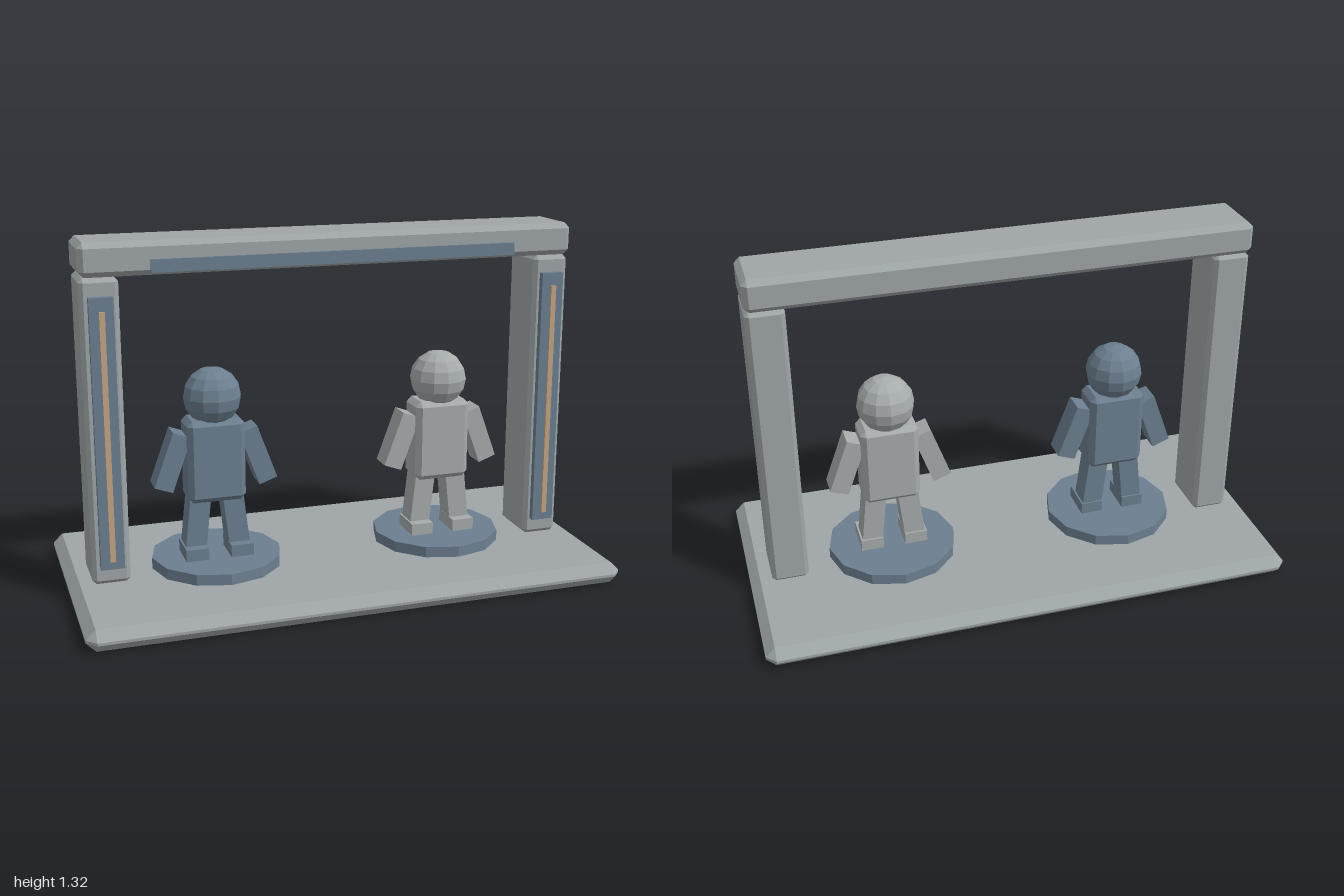
import * as THREE from 'three';
import { ConvexGeometry } from 'three/addons/geometries/ConvexGeometry.js';

const material = (name, color) => {
  const m = new THREE.MeshStandardMaterial({ color, flatShading: true });
  m.name = name;
  return m;
};

// Box with flat 45 degree chamfers on every edge
function chamferBox(w, h, d, c) {
  const points = [];
  for (const sx of [-1, 1]) for (const sy of [-1, 1]) for (const sz of [-1, 1]) {
    const x = w / 2, y = h / 2, z = d / 2;
    points.push(
      new THREE.Vector3(sx * x, sy * (y - c), sz * (z - c)),
      new THREE.Vector3(sx * (x - c), sy * y, sz * (z - c)),
      new THREE.Vector3(sx * (x - c), sy * (y - c), sz * z));
  }
  return new ConvexGeometry(points);
}

function add(parent, name, geometry, mat, x, y, z, tilt = 0) {
  const mesh = new THREE.Mesh(geometry, mat);
  mesh.name = name;
  mesh.position.set(x, y, z);
  mesh.rotation.z = tilt;
  parent.add(mesh);
  return mesh;
}

const box = (w, h, d) => new THREE.BoxGeometry(w, h, d);

// Standing figure, feet at y = 0
function createFigure(name, mat) {
  const figure = new THREE.Group();
  figure.name = name;
  add(figure, 'torso', chamferBox(0.216, 0.312, 0.14, 0.02), mat, 0, 0.37, 0);
  add(figure, 'head', new THREE.SphereGeometry(0.108, 12, 8), mat, 0, 0.604, 0);
  for (const [side, s] of [['right', -1], ['left', 1]]) {
    add(figure, side + 'Arm', box(0.072, 0.216, 0.09), mat, s * 0.16, 0.374, 0, s * 0.35);
    add(figure, side + 'Leg', box(0.078, 0.22, 0.09), mat, s * 0.073, 0.125, 0, s * 0.11);
    add(figure, side + 'Foot', box(0.086, 0.045, 0.135), mat, s * 0.085, 0.0225, 0.015);
  }
  return figure;
}

export function createModel() {
  const model = new THREE.Group();
  model.name = 'gatewayWithFigures';
  const stone = material('stone grey', 0x9fa6a7);
  const pale = material('pale grey', 0xa6abab);
  const slate = material('slate blue', 0x6c7f90);
  const tan = material('tan', 0xc2a585);

  // Base and gateway
  add(model, 'base', chamferBox(2, 0.08, 1.01, 0.035), stone, 0, 0.04, 0);
  add(model, 'lintel', chamferBox(1.845, 0.12, 0.24, 0.02), stone, 0, 1.256, 0);
  add(model, 'lintelBanner', box(1.355, 0.045, 0.01), slate, 0, 1.232, 0.138);

  // Posts with inlaid panels, pedestals
  for (const [side, s] of [['right', -1], ['left', 1]]) {
    add(model, side + 'Post', chamferBox(0.138, 1.112, 0.207, 0.015), stone, s * 0.852, 0.637, 0);
    add(model, side + 'Panel', box(0.086, 0.985, 0.024), slate, s * 0.85, 0.638, 0.115);
    add(model, side + 'Strip', box(0.02, 0.905, 0.008), tan, s * 0.85, 0.63, 0.135);
    add(model, side + 'Pedestal', new THREE.CylinderGeometry(0.245, 0.245, 0.042, 12), slate, s * 0.443, 0.1, 0);
  }

  // Two figures on the pedestals
  const dark = createFigure('slateFigure', slate);
  dark.position.set(-0.446, 0.121, 0);
  const light = createFigure('paleFigure', pale);
  light.position.set(0.443, 0.121, 0);
  model.add(dark, light);
  return model;
}
